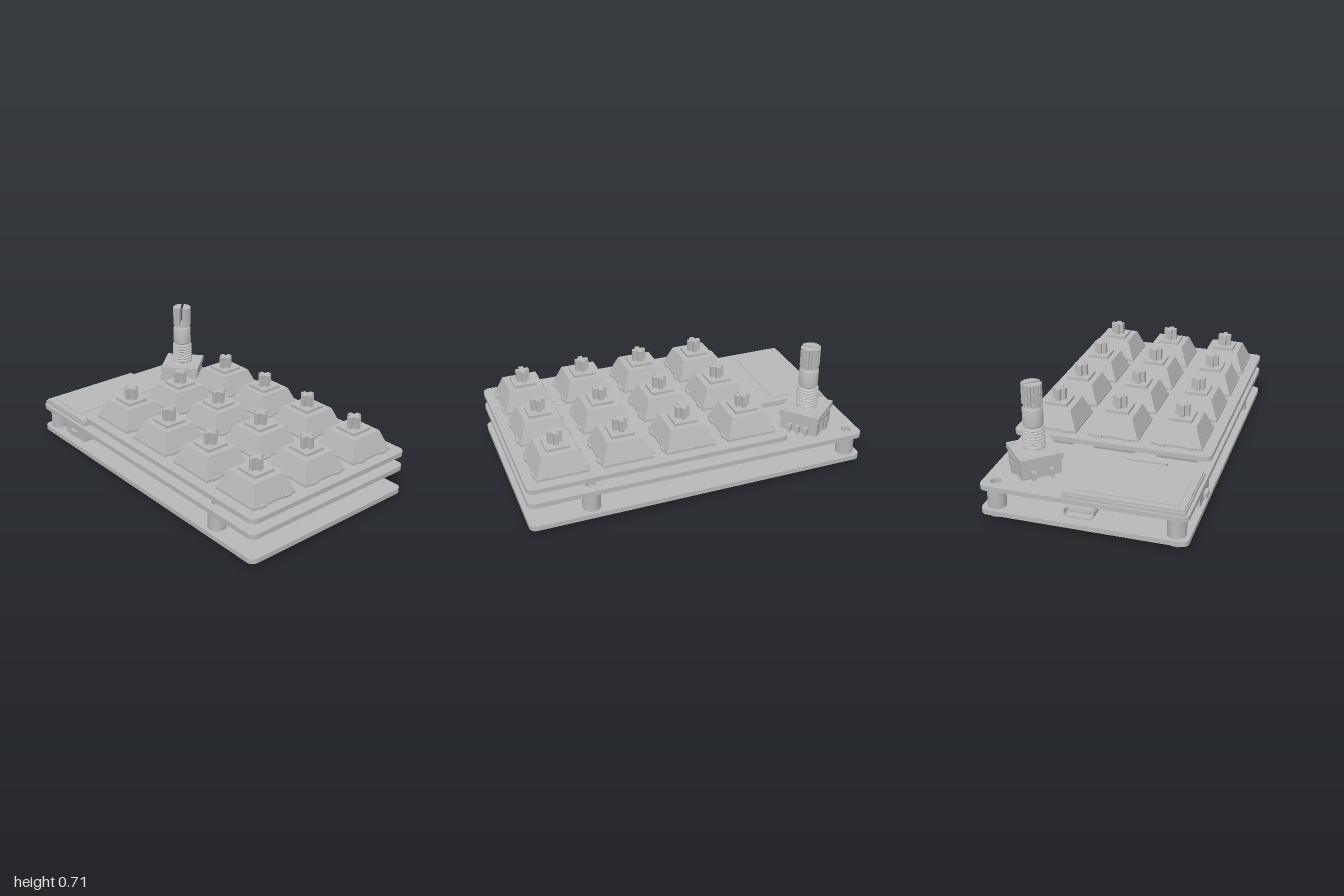
import * as THREE from 'three';
import { toCreasedNormals } from 'three/addons/utils/BufferGeometryUtils.js';

const grey = new THREE.MeshStandardMaterial({ color: 0xb8b8b8 });
grey.name = 'plain grey';

const CX = 0.007; // centre line of the boards

function add(parent, name, geo, x = 0, y = 0, z = 0) {
  const mesh = new THREE.Mesh(geo, grey);
  mesh.name = name;
  mesh.position.set(x, y, z);
  parent.add(mesh);
  return mesh;
}

// box given by its min and max corners
function block(parent, name, x0, x1, y0, y1, z0, z1) {
  return add(parent, name, new THREE.BoxGeometry(x1 - x0, y1 - y0, z1 - z0),
    (x0 + x1) / 2, (y0 + y1) / 2, (z0 + z1) / 2);
}

function roundRect(w, h, r, Type = THREE.Shape) {
  const s = new Type(), a = w / 2 - r, b = h / 2 - r;
  s.absarc(a, b, r, 0, Math.PI / 2);
  s.absarc(-a, b, r, Math.PI / 2, Math.PI);
  s.absarc(-a, -b, r, Math.PI, Math.PI * 1.5);
  s.absarc(a, -b, r, Math.PI * 1.5, Math.PI * 2);
  s.closePath();
  return s;
}

// extrude a plan shape upward from y = 0
function slab(shape, depth) {
  const g = new THREE.ExtrudeGeometry(shape, { depth, bevelEnabled: false, curveSegments: 8 });
  return toCreasedNormals(g.rotateX(-Math.PI / 2), 0.6);
}

// square tapered block standing on y = 0
function taper(bottom, top, h) {
  const k = Math.SQRT1_2;
  const g = new THREE.CylinderGeometry(top * k, bottom * k, h, 4).rotateY(Math.PI / 4).translate(0, h / 2, 0);
  return toCreasedNormals(g, 0.3);
}

function lathe(pairs, seg = 28) {
  const pts = pairs.map(([x, y]) => new THREE.Vector2(x, y));
  return toCreasedNormals(new THREE.LatheGeometry(pts, seg), 0.6);
}

function crossShape(arm, t) {
  const a = arm / 2, b = t / 2;
  return new THREE.Shape([[a, -b], [a, b], [b, b], [b, a], [-b, a], [-b, b], [-a, b], [-a, -b],
    [-b, -b], [-b, -a], [b, -a], [b, -b]].map(([x, y]) => new THREE.Vector2(x, y)));
}

// one key switch with its socket under the circuit board
const switchParts = [
  ['switchLowerBody', taper(0.232, 0.27, 0.063), 0.206],
  ['switchFlange', new THREE.BoxGeometry(0.29, 0.014, 0.29), 0.302],
  ['switchUpperBody', taper(0.285, 0.2, 0.106), 0.308],
  ['switchCap', new THREE.BoxGeometry(0.13, 0.017, 0.13), 0.421],
  ['switchStem', slab(crossShape(0.077, 0.027), 0.07), 0.428],
];
const clipGeo = new THREE.BoxGeometry(0.045, 0.015, 0.012);
const socketGeo = new THREE.BoxGeometry(0.23, 0.034, 0.095);
const padGeo = new THREE.BoxGeometry(0.035, 0.03, 0.05);
const postGeo = new THREE.CylinderGeometry(0.036, 0.036, 0.025, 20);

function keySwitch() {
  const g = new THREE.Group();
  g.name = 'keySwitch';
  for (const [name, geo, y] of switchParts) add(g, name, geo, 0, y, 0);
  for (const sx of [-1, 1]) for (const sz of [-1, 1])
    add(g, 'switchClip', clipGeo, sx * 0.085, 0.303, sz * 0.149);
  add(g, 'socket', socketGeo, 0, 0.163, 0.07);
  add(g, 'socketPad', padGeo, -0.128, 0.164, 0.055);
  add(g, 'socketPad', padGeo, 0.128, 0.164, 0.085);
  add(g, 'centrePost', postGeo, 0, 0.169, -0.02);
  return g;
}

// rotary encoder, standing on the circuit board
function rotaryEncoder() {
  const g = new THREE.Group();
  g.name = 'rotaryEncoder';
  const body = new THREE.Group();
  body.name = 'encoderBody';
  body.rotation.y = THREE.MathUtils.degToRad(41.5);
  g.add(body);
  block(body, 'encoderBase', -0.112, 0.112, 0.207, 0.3, -0.112, 0.112);
  block(body, 'encoderCover', -0.12, 0.12, 0.295, 0.33, -0.12, 0.12);
  for (const s of [-1, 1]) {
    // mounting legs wrap the cover on two sides
    add(body, 'coverSide', new THREE.BoxGeometry(0.012, 0.09, 0.12), s * 0.118, 0.265, 0);
    add(body, 'mountingLeg', new THREE.BoxGeometry(0.014, 0.14, 0.045), s * 0.124, 0.205, 0);
    for (const t of [-1, 1])
      add(body, 'rivet', new THREE.CylinderGeometry(0.009, 0.009, 0.006, 12), s * 0.09, 0.332, t * 0.09);
  }
  for (const [x, z] of [[-0.05, 1], [0, 1], [0.05, 1], [-0.05, -1], [0.05, -1]]) {
    add(body, 'contactShoulder', new THREE.BoxGeometry(0.022, 0.04, 0.03), x, 0.235, z * 0.124);
    add(body, 'contactPin', new THREE.BoxGeometry(0.016, 0.12, 0.012), x, 0.18, z * 0.134);
  }
  // threaded bushing
  const thread = [[0.062, 0.325]];
  for (let i = 0; i < 7; i++) {
    const y = 0.342 + i * 0.017;
    thread.push([0.052, y], [0.062, y + 0.006], [0.062, y + 0.011]);
  }
  thread.push([0.052, 0.462], [0, 0.462]);
  add(g, 'threadedBushing', lathe(thread));
  add(g, 'shaft', lathe([[0.048, 0.455], [0.048, 0.468], [0.056, 0.474], [0.056, 0.568],
    [0.051, 0.576], [0.047, 0.578], [0.047, 0.6], [0, 0.6]]));
  // knurled end, split by a slot
  const half = [];
  const start = 0.16, teeth = 9;
  for (let i = 0; i < teeth; i++) {
    for (const [f, r] of [[0, 0.048], [0.2, 0.056], [0.8, 0.056], [1, 0.048]]) {
      const a = start + (i + f) / teeth * (Math.PI - 2 * start);
      half.push(new THREE.Vector2(Math.cos(a) * r, Math.sin(a) * r));
    }
  }
  const halfGeo = slab(new THREE.Shape(half), 0.117);
  for (const turn of [0, Math.PI])
    add(g, 'knurledHalf', halfGeo, 0, 0.593, 0).rotation.y = Math.PI / 4 + turn;
  return g;
}

export function createModel() {
  const model = new THREE.Group();
  model.name = 'macroPad';
  const posts = [];
  for (const x of [-0.487, 0.501]) for (const z of [0.643, -0.905]) posts.push([x, z]);

  // three stacked boards
  const W = 1.135, L = 1.975, Z = 0.0125;
  add(model, 'bottomPlate', slab(roundRect(W, L, 0.04), 0.028), CX, 0.034, Z);
  const board = roundRect(W, L, 0.04);
  for (const [x, z] of posts) {
    const hole = new THREE.Path();
    hole.absarc(x - CX, Z - z, 0.029, 0, Math.PI * 2, true);
    board.holes.push(hole);
  }
  add(model, 'circuitBoard', slab(board, 0.028), CX, 0.179, Z);
  add(model, 'switchPlate', slab(roundRect(W, 1.495, 0.04), 0.028), CX, 0.268, 0.2525);

  // standoffs and round-headed screws
  const standoff = lathe([[0.051, 0.06], [0.051, 0.179], [0.022, 0.179], [0.022, 0.12], [0, 0.12]]);
  const screw = lathe([[0, 0.018], [0.02, 0.018], [0.02, 0], [0.032, 0.002], [0.044, 0.01],
    [0.052, 0.022], [0.055, 0.035]]);
  for (const [x, z] of posts) {
    add(model, 'standoff', standoff, x, 0, z);
    add(model, 'screwHead', screw, x, 0, z);
  }

  // key switches, three across and four deep
  for (let col = -1; col <= 1; col++) for (let row = 0; row < 4; row++) {
    const key = keySwitch();
    key.position.set(CX + col * 0.361, 0, -0.292 + row * 0.361);
    model.add(key);
  }

  const encoder = rotaryEncoder();
  encoder.position.set(0.356, 0, -0.714);
  model.add(encoder);

  // display module
  block(model, 'displayBoard', -0.542, 0.113, 0.207, 0.224, -0.965, -0.53);
  block(model, 'displayGlass', -0.535, 0.106, 0.224, 0.234, -0.955, -0.535);
  block(model, 'displayScreen', -0.498, 0.064, 0.234, 0.238, -0.92, -0.643);
  block(model, 'displayConnector', -0.33, -0.1, 0.207, 0.24, -0.529, -0.505);

  // charging port under the back edge
  const shell = roundRect(0.168, 0.06, 0.028);
  shell.holes.push(roundRect(0.152, 0.044, 0.02, THREE.Path));
  const port = new THREE.ExtrudeGeometry(shell, { depth: 0.16, bevelEnabled: false, curveSegments: 8 });
  add(model, 'portShell', toCreasedNormals(port, 0.6), 0.008, 0.149, -1.0);
  block(model, 'portTongue', -0.048, 0.064, 0.143, 0.155, -0.985, -0.85);
  block(model, 'portBack', -0.06, 0.076, 0.125, 0.175, -0.86, -0.845);

  // side switch and chips under the board
  block(model, 'sideSwitch', -0.558, -0.49, 0.115, 0.179, -0.71, -0.51);
  block(model, 'sideSwitchKnob', -0.578, -0.55, 0.128, 0.16, -0.635, -0.58);
  block(model, 'controllerChip', -0.24, -0.1, 0.13, 0.179, -0.14, 0);
  block(model, 'powerChip', -0.2, -0.1, 0.13, 0.179, -0.81, -0.7);
  return model;
}
